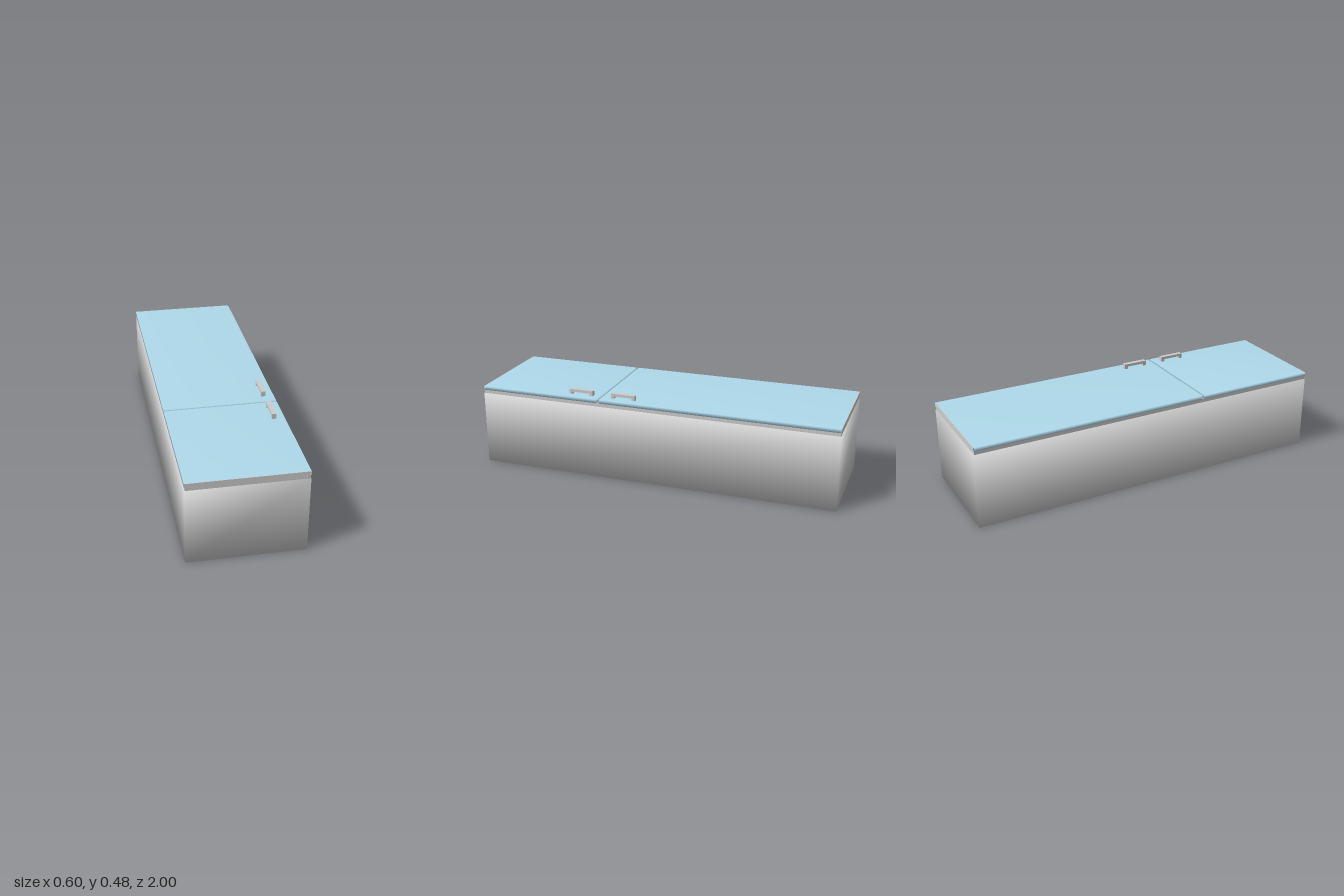
import * as THREE from 'three';
import { mergeVertices } from 'three/addons/utils/BufferGeometryUtils.js';

const grey = new THREE.MeshStandardMaterial({ color: 0xcccccc });
const blue = new THREE.MeshStandardMaterial({ color: 0xaed9ea });

// Box given by its min and max corners; soft shares the corner normals.
function box(name, [x0, y0, z0], [x1, y1, z1], material = grey, soft = false) {
  let geo = new THREE.BoxGeometry(x1 - x0, y1 - y0, z1 - z0);
  if (soft) {
    geo.deleteAttribute('normal');
    geo.deleteAttribute('uv');
    geo = mergeVertices(geo);
    geo.computeVertexNormals();
  }
  const mesh = new THREE.Mesh(geo, material);
  mesh.position.set((x0 + x1) / 2, (y0 + y1) / 2, (z0 + z1) / 2);
  mesh.name = name;
  return mesh;
}

// Bar handle on two short posts
function handle(name, z0, z1) {
  const group = new THREE.Group();
  group.name = name;
  const x0 = 0.232, x1 = 0.256, t = 0.018;
  group.add(
    box('handleBar', [x0, 0.463, z0], [x1, 0.478, z1]),
    box('handlePost', [x0, 0.449, z0], [x1, 0.463, z0 + t]),
    box('handlePost', [x0, 0.449, z1 - t], [x1, 0.463, z1])
  );
  return group;
}

export function createModel() {
  const model = new THREE.Group();
  model.name = 'refrigerator';

  // Cabinet lying on its back, with the door seal on top
  model.add(box('cabinet', [-0.3, 0, -1], [0.3, 0.41, 1], grey, true));
  model.add(box('doorSeal', [-0.297, 0.41, -0.997], [0.297, 0.43, 0.997]));

  // Large and small door
  model.add(box('largeDoor', [-0.3, 0.43, -0.997], [0.3, 0.45, 0.304], blue, true));
  model.add(box('smallDoor', [-0.3, 0.43, 0.318], [0.3, 0.45, 0.997], blue, true));

  // Grey end trims and small tapered hinges at both ends
  for (const s of [-1, 1]) {
    const z = [s * 0.997, s].sort((a, b) => a - b);
    model.add(box('doorEndTrim', [-0.3, 0.43, z[0]], [0.3, 0.45, z[1]]));

    const hinge = new THREE.Mesh(new THREE.CylinderGeometry(0.007, 0.005, 0.025, 12), grey);
    hinge.name = 'hinge';
    hinge.position.set(0.284, 0.4175, s * 0.993);
    model.add(hinge);
  }

  // Handles either side of the door split
  model.add(handle('largeDoorHandle', 0.113, 0.25));
  model.add(handle('smallDoorHandle', 0.357, 0.494));
  return model;
}
